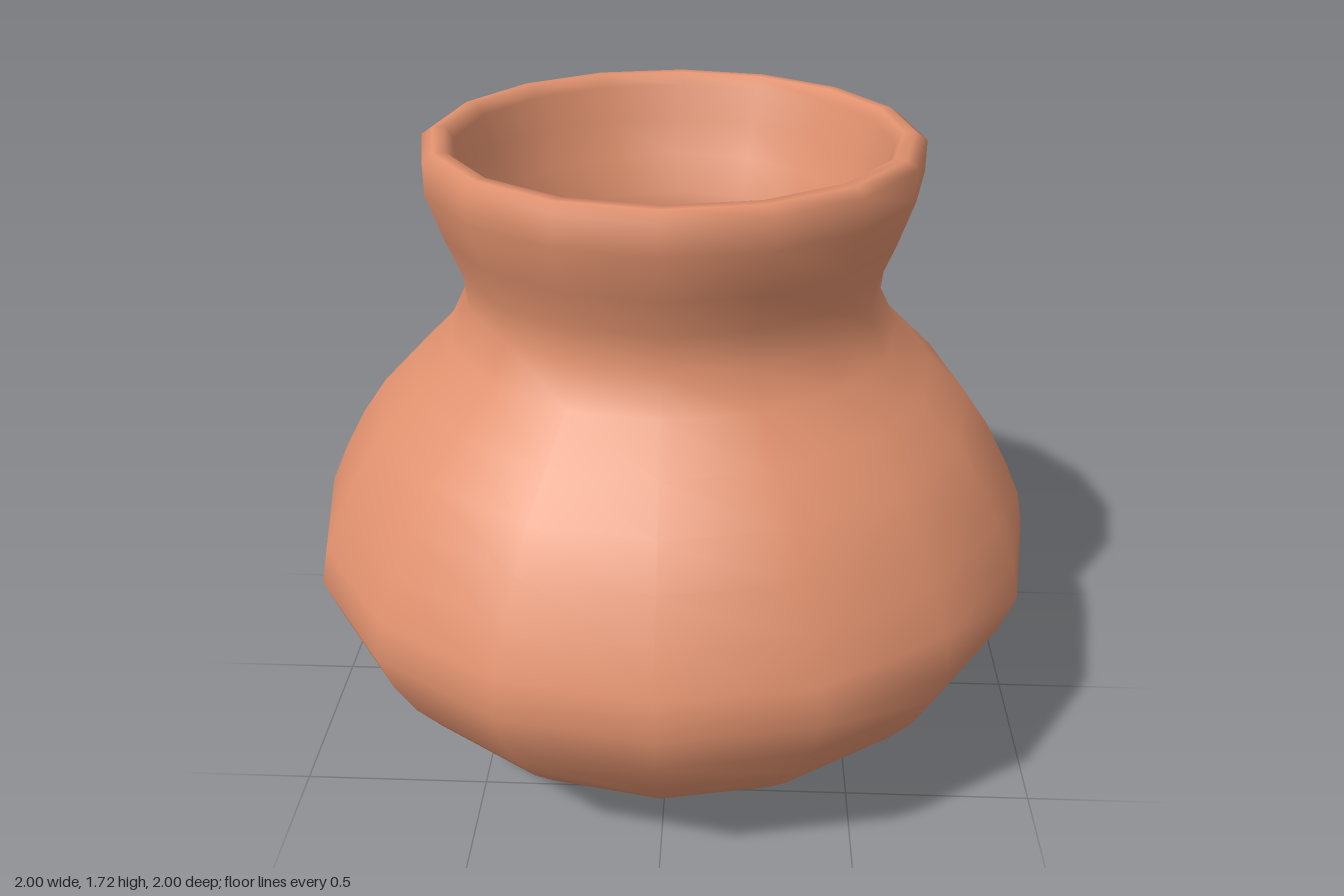
import * as THREE from 'three';

export function createModel() {
  const group = new THREE.Group();
  group.name = 'pot';

  const clay = new THREE.MeshStandardMaterial({ color: 0xe0916e });

  // Closed wall section [radius, height]: up the outside, over the rim, down the inside
  const outside = [
    [0, 0], [0.45, 0.04], [0.61, 0.1], [0.74, 0.18], [0.83, 0.27], [0.9, 0.36],
    [0.96, 0.47], [1, 0.58], [0.98, 0.68], [0.93, 0.79], [0.87, 0.9], [0.8, 1],
    [0.7, 1.1], [0.6, 1.2], [0.55, 1.3], [0.56, 1.4], [0.6, 1.5], [0.64, 1.62],
  ];
  const rim = [[0.64, 1.7], [0.61, 1.72], [0.58, 1.72], [0.56, 1.69]];
  const inside = [
    [0.54, 1.6], [0.5, 1.5], [0.46, 1.4], [0.44, 1.3], [0.5, 1.18], [0.7, 0.97],
    [0.83, 0.78], [0.9, 0.58], [0.82, 0.4], [0.68, 0.25], [0.42, 0.14], [0, 0.1],
  ];
  const profile = [...outside, ...rim, ...inside].map(([r, y]) => new THREE.Vector2(r, y));

  // Sixteen-sided, smoothly shaded vessel
  const vessel = new THREE.Mesh(new THREE.LatheGeometry(profile, 16), clay);
  vessel.name = 'vessel';
  group.add(vessel);

  return group;
}
